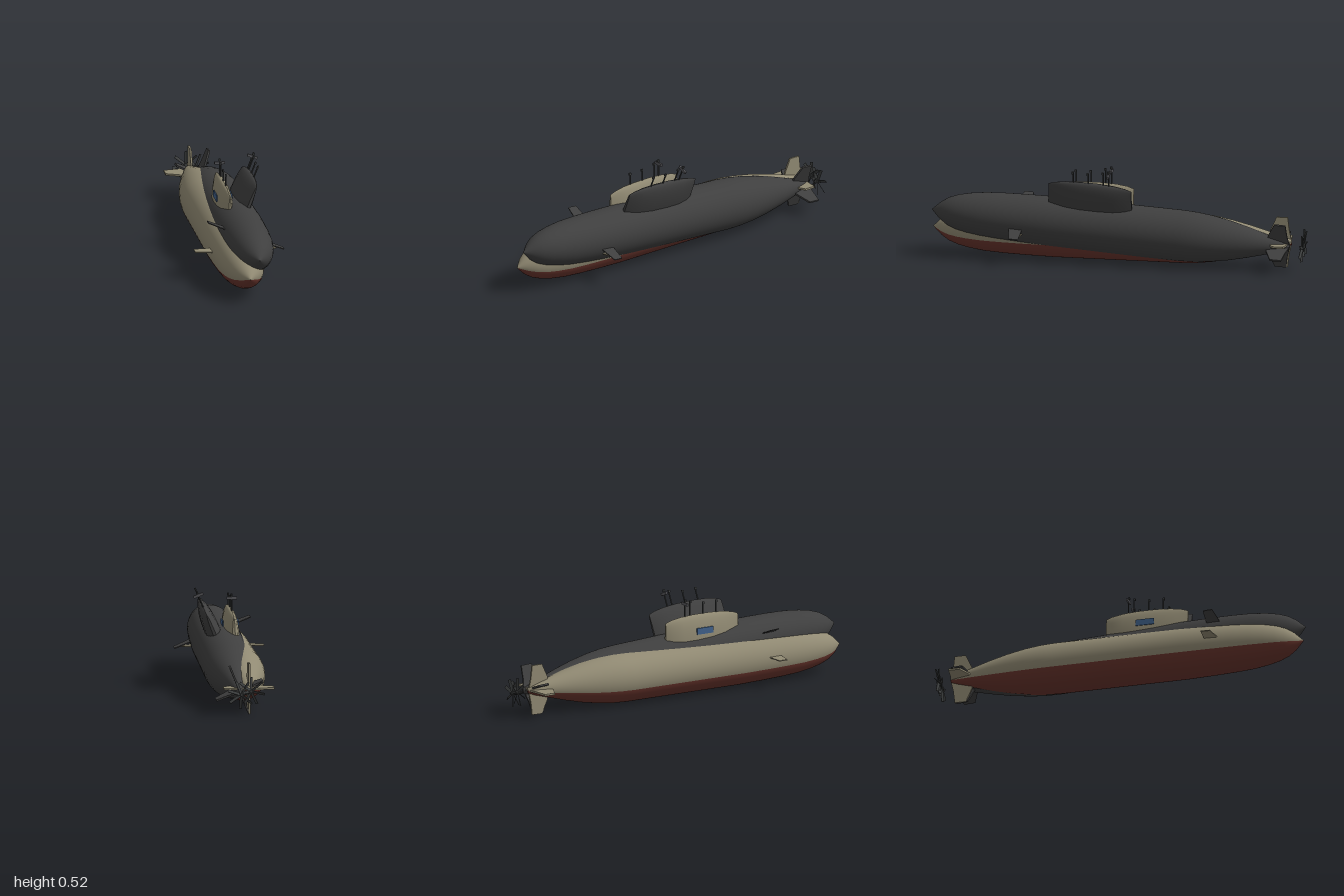
import * as THREE from 'three';
import { toCreasedNormals } from 'three/addons/utils/BufferGeometryUtils.js';

const mat = (name, color) => {
  const m = new THREE.MeshStandardMaterial({ color });
  m.name = name;
  return m;
};

function add(parent, name, geometry, material, x = 0, y = 0, z = 0) {
  const mesh = new THREE.Mesh(geometry, material);
  mesh.name = name;
  mesh.position.set(x, y, z);
  parent.add(mesh);
  return mesh;
}

// Hull profile: [z, radius] from tail to nose
const HULL = [[-0.92, 0], [-0.92, 0.016], [-0.88, 0.03], [-0.8, 0.052], [-0.7, 0.08], [-0.6, 0.104],
  [-0.5, 0.122], [-0.42, 0.131], [-0.34, 0.135], [0.35, 0.135], [0.5, 0.131], [0.62, 0.126], [0.72, 0.119],
  [0.8, 0.107], [0.86, 0.093], [0.91, 0.074], [0.95, 0.048], [0.98, 0.02], [1, 0]];

// Slice of the hull; the angle is measured from the keel
function hullSlice(startDeg, sweepDeg) {
  const pts = HULL.map(([z, r]) => new THREE.Vector2(r, z));
  const rad = THREE.MathUtils.degToRad;
  return new THREE.LatheGeometry(pts, 48, rad(startDeg), rad(sweepDeg)).rotateX(Math.PI / 2);
}

// Sail stations: [z, half width, top height]
const SAIL = [[0.37, 0, 0.25], [0.37, 0.008, 0.25], [0.335, 0.02, 0.262], [0.28, 0.034, 0.272], [0.2, 0.042, 0.277],
  [0.1, 0.043, 0.277], [0.02, 0.039, 0.272], [-0.04, 0.026, 0.262], [-0.075, 0.008, 0.25], [-0.075, 0, 0.25]];

// Loft half-ellipse sections along the sail
function sailGeometry() {
  const n = 20, base = 0.11, pos = [], idx = [];
  SAIL.forEach(([z, w, top], i) => {
    for (let j = 0; j <= n; j++) {
      const a = (j / n) * Math.PI;
      pos.push(w * Math.cos(a), base + (top - base) * Math.sin(a), z);
      if (i < SAIL.length - 1 && j < n) {
        const p = i * (n + 1) + j, q = p + n + 1;
        idx.push(p, q, p + 1, q, q + 1, p + 1);
      }
    }
  });
  const g = new THREE.BufferGeometry();
  g.setAttribute('position', new THREE.Float32BufferAttribute(pos, 3));
  g.setIndex(idx);
  return toCreasedNormals(g, 0.6);
}

// Flat plate from [span, z] corners
function plate(points, thickness) {
  const shape = new THREE.Shape(points.map(([x, z]) => new THREE.Vector2(x, z)));
  return new THREE.ExtrudeGeometry(shape, { depth: thickness, bevelEnabled: false })
    .translate(0, 0, -thickness / 2).rotateX(Math.PI / 2);
}

function submarine(name, upper, lower, metal, fitting, panel) {
  const sub = new THREE.Group();
  sub.name = name;

  add(sub, 'upperHull', hullSlice(70, 220), upper);
  add(sub, 'lowerHull', hullSlice(-70, 140), lower);
  add(sub, 'sail', sailGeometry(), upper);

  // Cross of tail fins
  for (let i = 0; i < 4; i++) {
    const fin = add(sub, 'tailFin',
      plate([[0.01, -0.795], [0.065, -0.808], [0.134, -0.84], [0.134, -0.9], [0.065, -0.908], [0.01, -0.92]], 0.01), upper);
    fin.rotation.z = i * Math.PI / 2;
  }

  // Bow planes
  for (const s of [-1, 1]) {
    add(sub, 'bowPlane',
      plate([[0.1, 0.49], [0.1, 0.565], [0.15, 0.558], [0.217, 0.545], [0.217, 0.495]].map(([x, z]) => [s * x, z]), 0.005),
      upper, 0, 0.018, 0);
  }

  // Masts: [z, top height]
  [[0.235, 0.34], [0.155, 0.34], [0.075, 0.355], [0.045, 0.365]].forEach(([z, top]) => {
    add(sub, 'mast', new THREE.CylinderGeometry(0.004, 0.004, top - 0.25, 10), metal, 0, (top + 0.25) / 2, z);
    add(sub, 'mastHead', new THREE.BoxGeometry(0.009, 0.012, 0.011), metal, 0, top - 0.007, z + 0.003);
  });
  add(sub, 'antennaBar', new THREE.BoxGeometry(0.055, 0.014, 0.01), fitting, 0, 0.341, 0.045);

  // Side panels on the sail
  if (panel) {
    for (const s of [-1, 1]) {
      add(sub, 'sailPanel', new THREE.BoxGeometry(0.006, 0.034, 0.1), panel, s * 0.0405, 0.193, 0.145);
    }
  }

  // Seven-bladed propeller behind the tail
  const prop = new THREE.Group();
  prop.name = 'propeller';
  prop.position.z = -0.988;
  sub.add(prop);
  add(prop, 'propellerHub', new THREE.CylinderGeometry(0.011, 0.008, 0.022, 16).rotateX(Math.PI / 2), metal);
  for (let i = 0; i < 7; i++) {
    const blade = add(prop, 'propellerBlade',
      new THREE.BoxGeometry(0.016, 0.067, 0.003).rotateY(0.7).translate(0, 0.041, 0), metal);
    blade.rotation.z = (i / 7) * Math.PI * 2;
  }
  return sub;
}

export function createModel() {
  const beige = mat('beige paint', 0x918a73);
  const red = mat('red bottom paint', 0x6a352d);
  const dark = mat('dark grey paint', 0x3f3f3f);
  const metal = mat('dark metal', 0x3c3e3e);
  const fitting = mat('grey fitting', 0x58585c);
  const blue = mat('blue panel', 0x41628c);

  const model = new THREE.Group();
  model.name = 'pairedSubmarines';

  // Level two-tone submarine
  const level = submarine('levelSubmarine', beige, red, metal, fitting, blue);
  level.position.set(-0.022, 0.136, 0);

  // Rolled and pitched dark submarine
  const tilted = submarine('tiltedSubmarine', dark, dark, metal, fitting, null);
  tilted.position.set(0.028, 0.178, 0);
  tilted.rotation.set(-0.06, 0, -0.385);

  model.add(level, tilted);
  return model;
}
